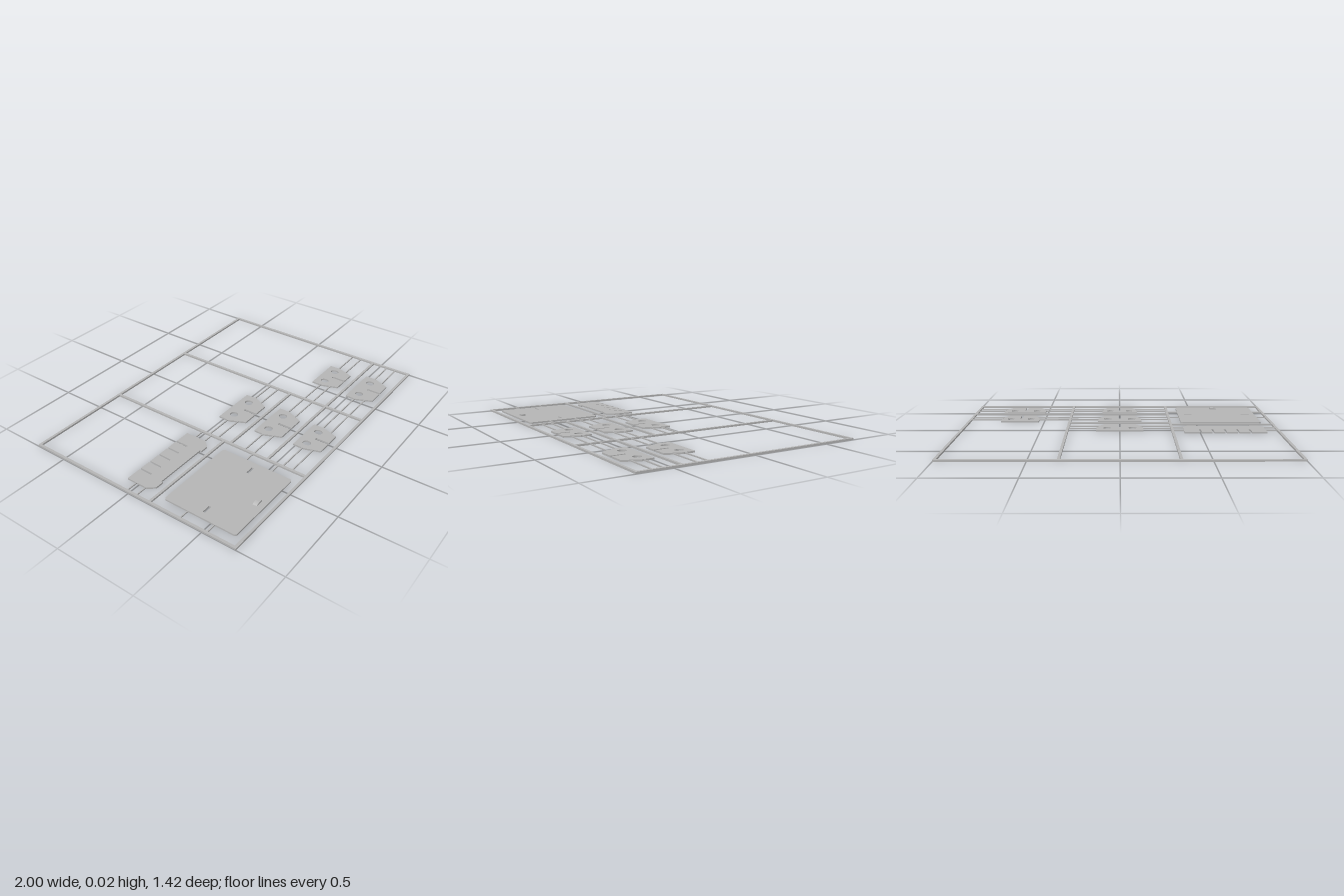
import * as THREE from 'three';

const H = 0.011; // thickness of frame and parts

export function createModel() {
  const model = new THREE.Group();
  const grey = new THREE.MeshStandardMaterial({ color: 0xb4b4b4 });
  grey.name = 'greyPlastic';

  const add = (name, geometry) => {
    const mesh = new THREE.Mesh(geometry, grey);
    mesh.name = name;
    model.add(mesh);
    return mesh;
  };
  // Box given by its x, y and z ranges
  const bar = (name, x0, x1, z0, z1, y0 = 0, y1 = H) =>
    add(name, new THREE.BoxGeometry(x1 - x0, y1 - y0, z1 - z0))
      .position.set((x0 + x1) / 2, (y0 + y1) / 2, (z0 + z1) / 2);
  // Flat part from an outline of [x, z] points, with holes as paths
  const toShape = (pts) => new THREE.Shape(pts.map(([x, z]) => new THREE.Vector2(x, -z)));
  const plate = (name, shape, holes = []) => {
    shape.holes.push(...holes);
    const g = new THREE.ExtrudeGeometry(shape, { depth: H - 0.001, bevelEnabled: false, curveSegments: 10 });
    return add(name, g.rotateX(-Math.PI / 2));
  };

  // Outer frame
  const W = 1, D = 0.712, t = 0.016, c = 0.33;
  for (const s of [-1, 1]) {
    bar('frameEnd', -W, W, s * (D - t / 2) - t / 2, s * (D - t / 2) + t / 2);
    bar('frameSide', s * (W - t / 2) - t / 2, s * (W - t / 2) + t / 2, -D + t, D - t);
    bar('frameDivider', s * c - t / 2, s * c + t / 2, -D + t, D - t);
  }

  // Cross bars between the columns
  const columns = [[-W + t, -c - t / 2], [-c + t / 2, c - t / 2], [c + t / 2, W - t]];
  for (const [col, z] of [[0, 0.142], [1, 0.185], [1, 0.445], [2, 0.445]]) {
    bar('crossBar', ...columns[col], z - 0.0075, z + 0.0075);
  }

  // Thin runners from the column sides to a part spanning x0..x1
  const runners = (col, zs, x0, x1, w) => {
    for (const z of zs) {
      bar('runner', columns[col][0], x0, z - w / 2, z + w / 2, 0.002, 0.009);
      bar('runner', x1, columns[col][1], z - w / 2, z + w / 2, 0.002, 0.009);
    }
  };

  // Comb plate: slots along the back edge, two small feet on the front edge
  const cx = -0.658;
  const comb = [[cx - 0.257, 0.057], [cx - 0.257, -0.081]];
  for (let k = -2; k <= 2; k++) {
    const x = cx + k * 0.078, h = 0.0055;
    comb.push([x - h, -0.081], [x - h, 0.002], [x + h, 0.002], [x + h, -0.081]);
  }
  comb.push([cx + 0.257, -0.081], [cx + 0.257, 0.057], [cx + 0.222, 0.097], [cx + 0.17, 0.097],
    [cx + 0.17, 0.086], [cx - 0.17, 0.086], [cx - 0.17, 0.097], [cx - 0.222, 0.097]);
  plate('combPlate', toShape(comb));
  runners(0, [-0.018, 0.049], cx - 0.256, cx + 0.256, 0.006);

  // Large base plate with rounded corners and two slots
  const px = -0.663, pw = 0.262, z0 = 0.19, z1 = 0.658, r = 0.014;
  const base = new THREE.Shape();
  base.absarc(px + pw - r, -z0 - r, r, 0, Math.PI / 2);
  base.absarc(px - pw + r, -z0 - r, r, Math.PI / 2, Math.PI);
  base.absarc(px - pw + r, -z1 + r, r, Math.PI, Math.PI * 1.5);
  base.absarc(px + pw - r, -z1 + r, r, Math.PI * 1.5, Math.PI * 2);
  const slots = [-1, 1].map((s) => {
    const x = px + s * 0.195;
    return toShape([[x - 0.027, 0.418], [x + 0.027, 0.418], [x + 0.027, 0.432], [x - 0.027, 0.432]]);
  });
  plate('basePlate', base, slots);
  runners(0, [0.35, 0.525], px - pw, px + pw, 0.007);

  // Small curved catch on the base plate
  const ramp = new THREE.Shape();
  ramp.moveTo(-0.688, 0.008);
  ramp.lineTo(-0.641, 0.008);
  ramp.lineTo(-0.641, 0.022);
  ramp.lineTo(-0.662, 0.022);
  ramp.quadraticCurveTo(-0.678, 0.019, -0.688, 0.01);
  const catchGeo = new THREE.ExtrudeGeometry(ramp, { depth: 0.027, bevelEnabled: false, curveSegments: 6 });
  add('catch', catchGeo).position.z = 0.595;

  // Tapered brackets with two eye holes and a front slot
  const brackets = [
    // column, centre x, half top, half bottom, back z, shoulder z, front z, hole x, hole z, hole rx, slot z
    [1, 0, 0.148, 0.103, -0.031, 0.045, 0.138, 0.08, 0.03, 0.025, 0.055],
    [1, 0, 0.143, 0.1, 0.228, 0.297, 0.397, 0.08, 0.288, 0.025, 0.308],
    [1, 0, 0.12, 0.087, 0.488, 0.56, 0.656, 0.066, 0.549, 0.022, 0.57],
    [2, 0.66, 0.124, 0.088, 0.228, 0.297, 0.397, 0.067, 0.288, 0.022, 0.308],
    [2, 0.66, 0.143, 0.1, 0.488, 0.56, 0.656, 0.078, 0.549, 0.024, 0.57],
  ];
  for (const [col, x, a, b, zb, zs, zf, hx, hz, rx, slot] of brackets) {
    const half = [[a, zb], [a, zs], [b, zf], [0.0075, zf], [0.0075, slot]];
    const outline = [
      ...half.map(([dx, z]) => [x + dx, z]),
      ...half.slice().reverse().map(([dx, z]) => [x - dx, z]),
    ];
    const holes = [-1, 1].map((s) =>
      new THREE.Path().absellipse(x + s * hx, -hz, rx, 0.026, 0, Math.PI * 2));
    plate('bracket', toShape(outline), holes);
    // The front runner meets the tapered edge when it lies past the shoulder
    for (const z of [hz, hz + 0.062]) {
      const reach = a - (a - b) * Math.max(0, (z - zs) / (zf - zs)) - 0.002;
      runners(col, [z], x - reach, x + reach, 0.007);
    }
  }

  return model;
}
